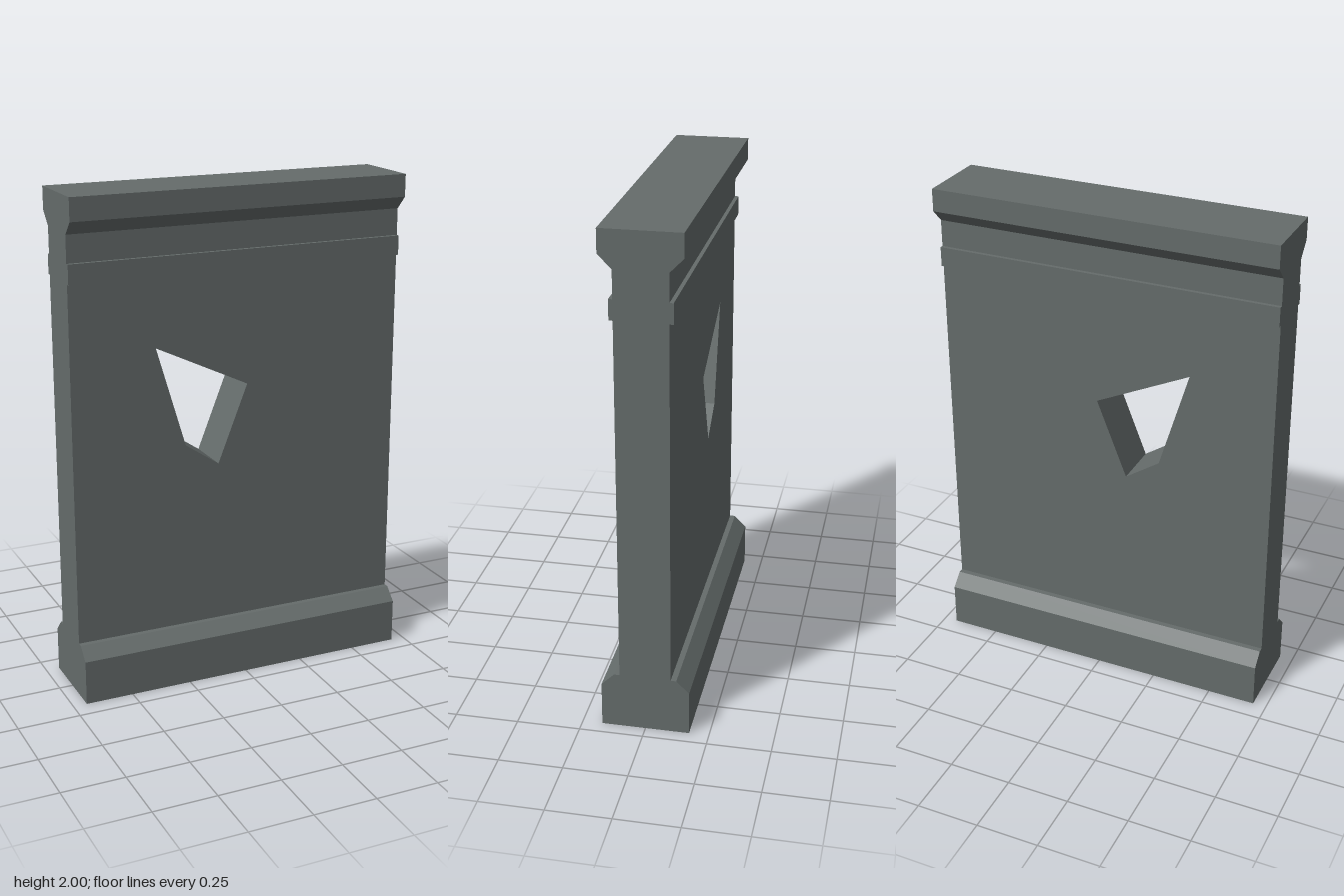
import * as THREE from 'three';

const W = 0.695; // half width
const T = 0.10;  // half thickness of the wall

// Half profiles as [z, y], running from the top down
const CAP = [[0, 2], [0.152, 2], [0.152, 1.91], [T, 1.857], [T, 1.75]];
const BAND = [[T, 1.75], [0.115, 1.75], [0.115, 1.672], [T, 1.672]];
const BASE = [[T, 0.23], [0.122, 0.23], [0.172, 0.18], [0.172, 0]];

// Gap through the wall, clockwise from the upper left
const GAP = [[-0.35, 1.395], [0.035, 1.21], [-0.09, 0.895], [-0.23, 0.99]];

// Flat four-sided faces from lists of corners
function quads(list) {
  const geo = new THREE.BufferGeometry();
  const pos = list.flatMap(([a, b, c, d]) => [a, b, c, a, c, d].flat());
  geo.setAttribute('position', new THREE.Float32BufferAttribute(pos, 3));
  geo.computeVertexNormals();
  return geo;
}

// Sweep a half profile across the full width
function moulding(profile) {
  return quads(profile.slice(1).map(([z1, y1], i) => {
    const [z0, y0] = profile[i];
    return [[-W, y0, z0], [-W, y1, z1], [W, y1, z1], [W, y0, z0]];
  }));
}

export function createModel() {
  const model = new THREE.Group();
  model.name = 'wallSegment';
  const stone = new THREE.MeshStandardMaterial({ color: 0x656c6b, side: THREE.DoubleSide });
  stone.name = 'greyStone';

  const add = (parent, name, geo) => {
    const mesh = new THREE.Mesh(geo, stone);
    mesh.name = name;
    parent.add(mesh);
    return mesh;
  };

  // Front and back: cap, band, pierced panel and base
  for (const s of [1, -1]) {
    const side = new THREE.Group();
    side.name = s > 0 ? 'frontSide' : 'backSide';
    if (s < 0) side.rotation.y = Math.PI;
    model.add(side);

    add(side, 'cap', moulding(CAP));
    add(side, 'band', moulding(BAND));
    add(side, 'base', moulding(BASE));

    const panel = new THREE.Shape(
      [[-W, 0.23], [W, 0.23], [W, 1.672], [-W, 1.672]].map(p => new THREE.Vector2(...p)));
    panel.holes.push(new THREE.Path(GAP.map(([x, y]) => new THREE.Vector2(x * s, y))));
    add(side, 'panel', new THREE.ShapeGeometry(panel).translate(0, 0, T));
  }

  // Inner faces of the gap
  add(model, 'gapWalls', quads(GAP.map(([x, y], i) => {
    const [u, v] = GAP[(i + 1) % GAP.length];
    return [[x, y, T], [x, y, -T], [u, v, -T], [u, v, T]];
  })));

  // Ends closed by the whole profile; the underside stays open
  const half = [...CAP, ...BAND, ...BASE].filter(([z]) => z > 0);
  const outline = [...half, ...half.map(([z, y]) => [-z, y]).reverse()]
    .filter(([z, y], i, a) => i === 0 || z !== a[i - 1][0] || y !== a[i - 1][1]);
  const endShape = new THREE.Shape(outline.map(p => new THREE.Vector2(...p)));
  for (const s of [1, -1]) {
    const geo = new THREE.ShapeGeometry(endShape).rotateY(s * Math.PI / 2).translate(s * W, 0, 0);
    add(model, s > 0 ? 'leftEnd' : 'rightEnd', geo);
  }

  return model;
}
